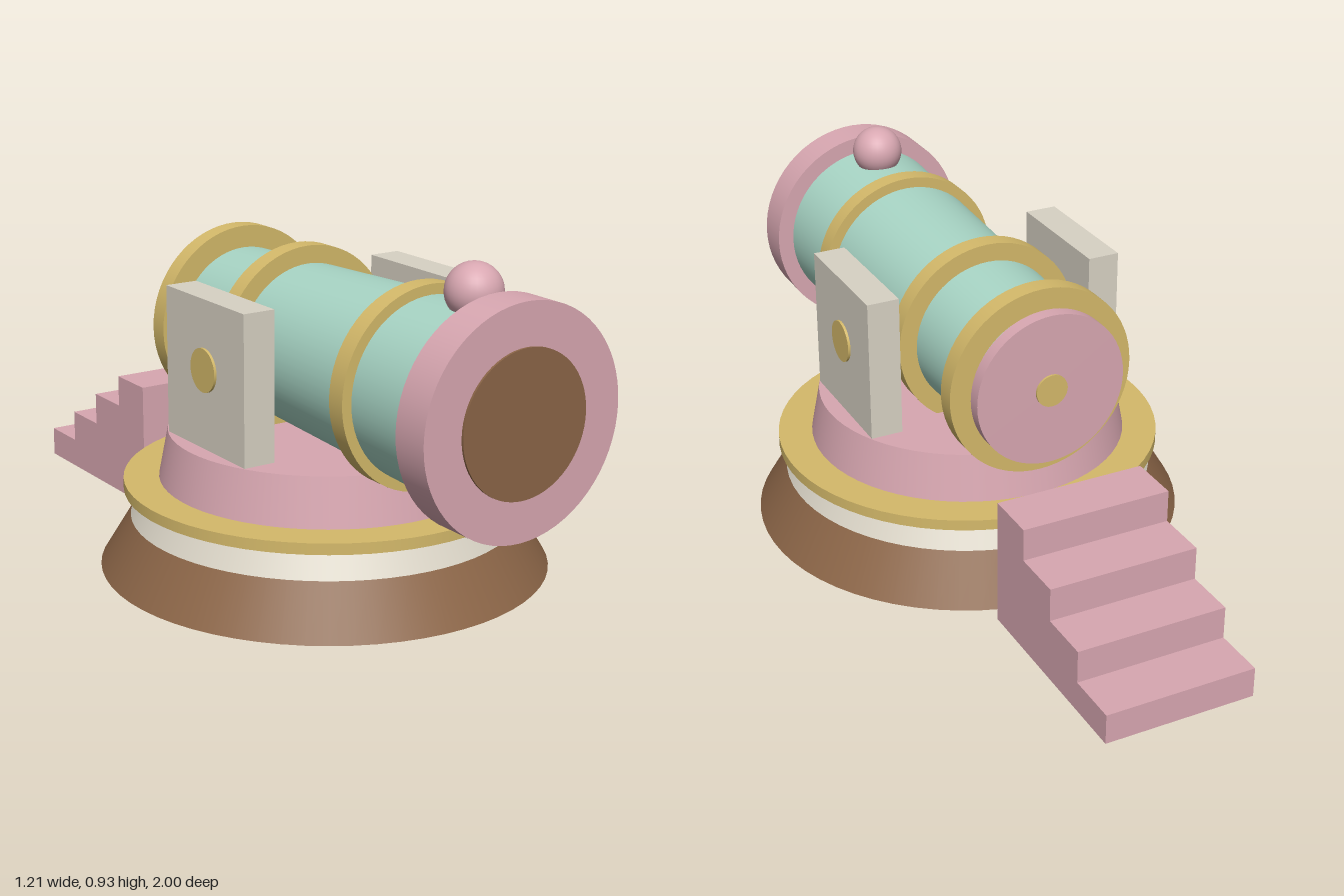
import * as THREE from 'three';

const material = (name, color) => {
  const m = new THREE.MeshStandardMaterial({ color });
  m.name = name;
  return m;
};

export function createModel() {
  const pink = material('pink', 0xd8a7b1);
  const teal = material('mint', 0xa8d5c5);
  const gold = material('gold', 0xd4b96a);
  const brown = material('brown', 0x8b6547);
  const cream = material('cream', 0xd8d2c4);

  const model = new THREE.Group();
  model.name = 'cannon';
  const AXIS_Y = 0.582, CENTRE_Z = 0.193;

  const add = (name, geometry, mat, x, y, z) => {
    const mesh = new THREE.Mesh(geometry, mat);
    mesh.name = name;
    mesh.position.set(x, y, z);
    model.add(mesh);
    return mesh;
  };

  // Round tier of the base, from y0 up to y1
  const tier = (name, mat, r0, r1, y0, y1) =>
    add(name, new THREE.CylinderGeometry(r1, r0, y1 - y0, 64), mat, 0, (y0 + y1) / 2, CENTRE_Z);

  // Round part on the barrel axis, from z0 (rear) to z1 (front)
  const onAxis = (name, mat, rRear, rFront, z0, z1) => {
    const geometry = new THREE.CylinderGeometry(rFront, rRear, z1 - z0, 64).rotateX(Math.PI / 2);
    return add(name, geometry, mat, 0, AXIS_Y, (z0 + z1) / 2);
  };

  // Stepped round base
  tier('baseFoot', brown, 0.605, 0.523, 0, 0.135);
  tier('baseBand', cream, 0.523, 0.478, 0.135, 0.21);
  tier('baseRing', gold, 0.54, 0.54, 0.21, 0.24);
  tier('turntable', pink, 0.445, 0.42, 0.24, 0.37);

  // Tapered barrel with muzzle, bands and rear cap
  onAxis('barrel', teal, 0.2, 0.247, -0.28, 0.9);
  onAxis('muzzle', pink, 0.293, 0.293, 0.89, 0.994);
  onAxis('bore', brown, 0.185, 0.185, 0.99, 1);
  [-0.23, 0.085, 0.613].forEach((z, i) =>
    onAxis('barrelBand' + (i + 1), gold, 0.264, 0.264, z - 0.027, z + 0.027));
  onAxis('rearCap', pink, 0.213, 0.213, -0.312, -0.274);
  onAxis('rearButton', gold, 0.045, 0.045, -0.318, -0.31);

  // Sighting knob on top of the barrel
  add('sightKnob', new THREE.SphereGeometry(0.072, 32, 20), pink, 0, 0.86, 0.8);

  // Side cheeks and the pivot through them
  for (const side of [1, -1]) {
    add(side > 0 ? 'leftCheek' : 'rightCheek',
      new THREE.BoxGeometry(0.09, 0.4, 0.372), cream, side * 0.329, 0.567, CENTRE_Z);
  }
  add('pivot', new THREE.CylinderGeometry(0.058, 0.058, 0.762, 32).rotateZ(Math.PI / 2),
    gold, 0, AXIS_Y, CENTRE_Z);

  // Staircase at the rear, descending away from the base
  [0.358, 0.268, 0.175, 0.084].forEach((height, i) =>
    add('step' + (i + 1), new THREE.BoxGeometry(0.42, height, 0.1445),
      pink, 0, height / 2, -0.494 - i * 0.1445));

  return model;
}
